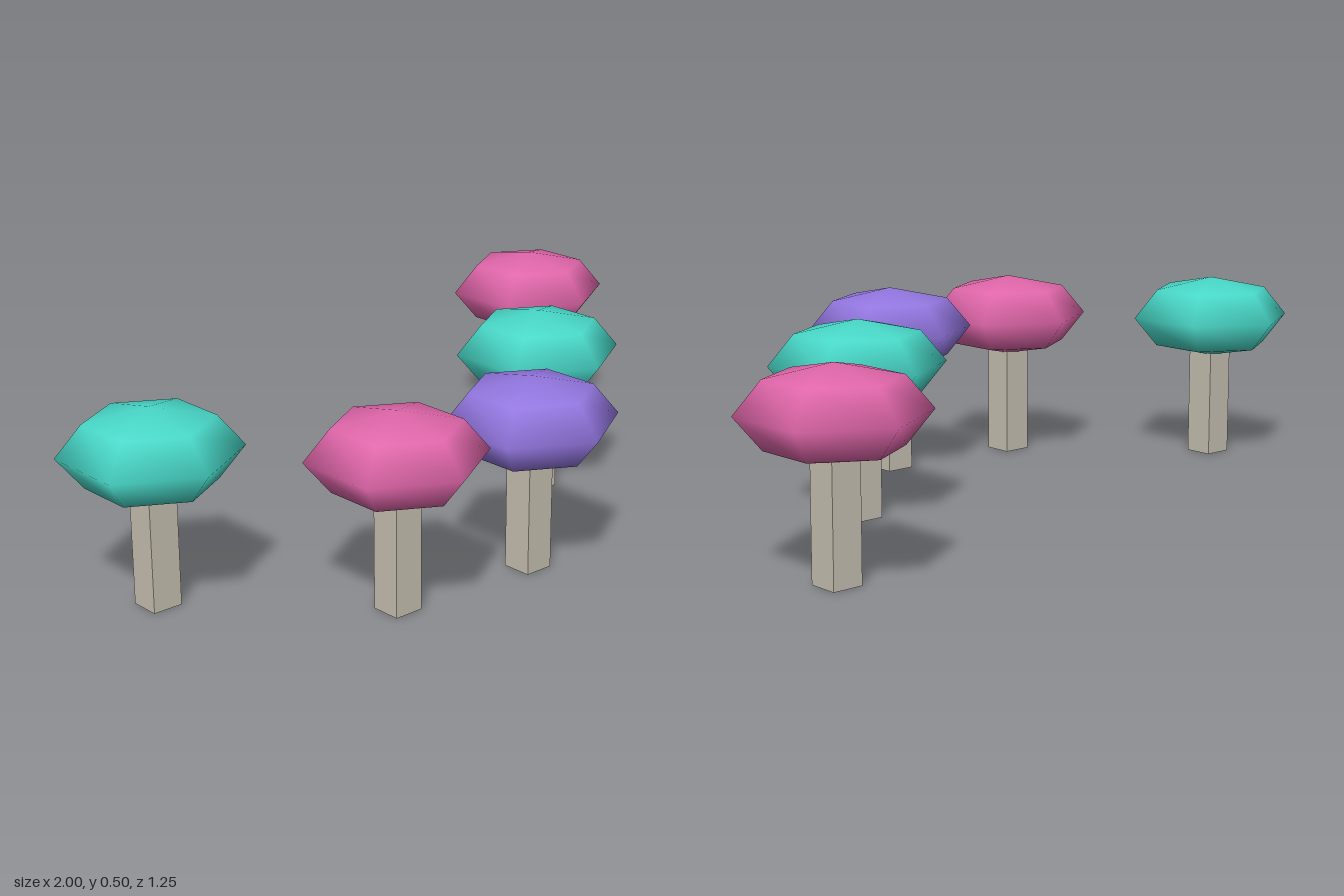
import * as THREE from 'three';

const mat = (name, color) => {
  const m = new THREE.MeshStandardMaterial({ color });
  m.name = name;
  return m;
};

export function createModel() {
  const group = new THREE.Group();
  group.name = 'mushroomRow';

  const stone = mat('paleStone', 0xc9c2b3);
  const teal = mat('teal', 0x48d8c8);
  const pink = mat('pink', 0xe066aa);
  const purple = mat('purple', 0x9376e0);

  // Six-sided flattened cap with corners towards front and back
  const capGeo = new THREE.SphereGeometry(0.222, 6, 4);
  capGeo.rotateY(Math.PI / 2);
  capGeo.scale(1, 0.5, 1);

  // Square stem whose top is hidden inside the cap
  const stemHeight = 0.31;
  const stemGeo = new THREE.BoxGeometry(0.079, stemHeight, 0.079);
  stemGeo.translate(0, stemHeight / 2, 0);

  // Evenly spaced along x, scattered along z
  const spacing = 0.4038;
  const row = [[-0.036, teal], [0.369, pink], [0.402, purple], [0.031, teal], [-0.402, pink]];
  row.forEach(([z, colour], i) => {
    const mushroom = new THREE.Group();
    mushroom.name = `mushroom${i + 1}`;
    const stem = new THREE.Mesh(stemGeo, stone);
    stem.name = 'stem';
    const cap = new THREE.Mesh(capGeo, colour);
    cap.name = 'cap';
    cap.position.y = 0.388;
    mushroom.add(stem, cap);
    mushroom.position.set((i - 2) * spacing, 0, z);
    group.add(mushroom);
  });

  return group;
}
